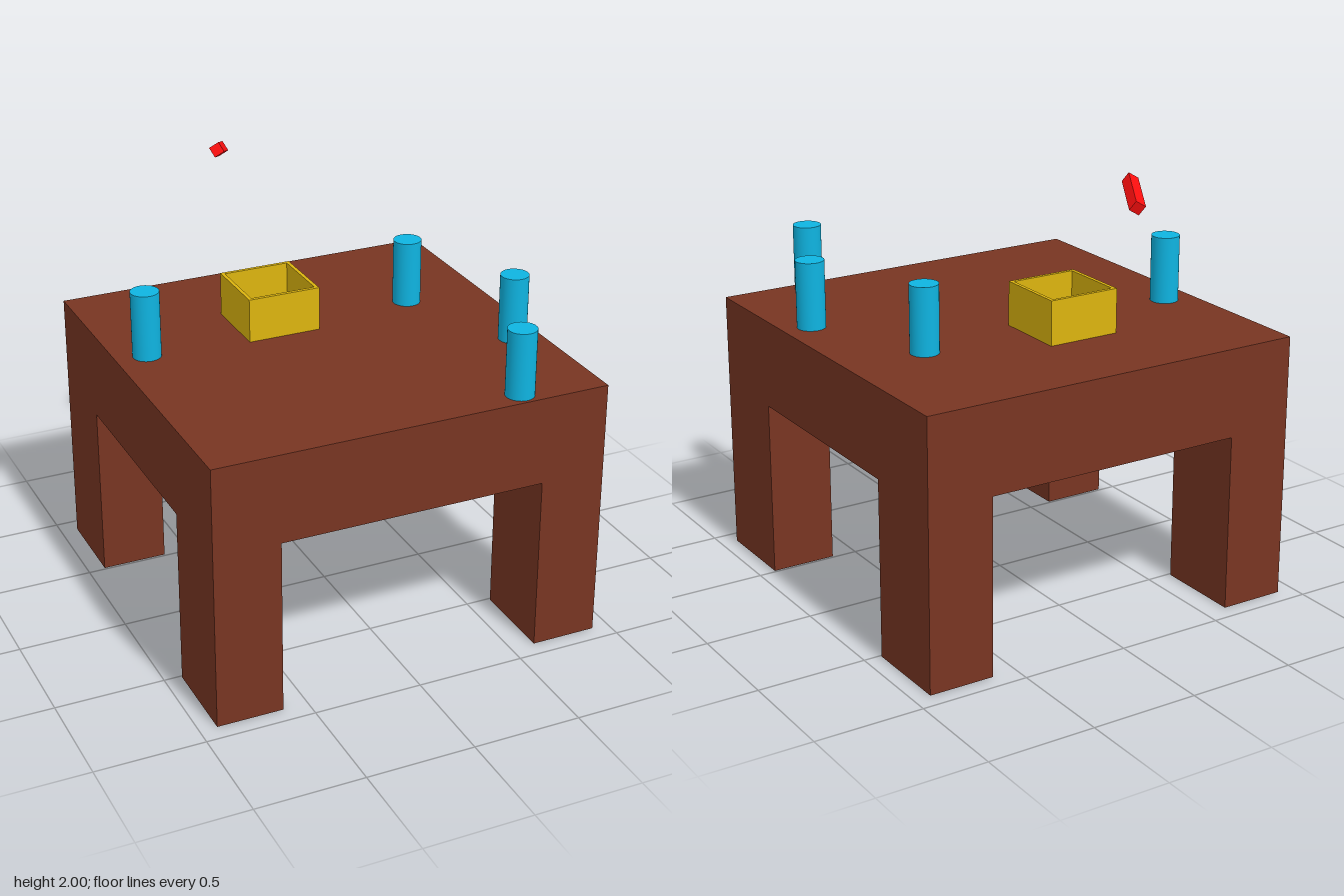
import * as THREE from 'three';

const material = (color) => new THREE.MeshStandardMaterial({ color });

function addMesh(parent, name, geometry, mat, x, y, z) {
  const mesh = new THREE.Mesh(geometry, mat);
  mesh.name = name;
  mesh.position.set(x, y, z);
  parent.add(mesh);
  return mesh;
}

export function createModel() {
  const model = new THREE.Group();
  model.name = 'tableScene';

  const brown = material(0x783522);
  const yellow = material(0xdcb40f);
  const blue = material(0x0fb4e1);
  const red = material(0xff0f0f);

  // Table: thick slab on four corner legs, flush with its sides
  const half = 0.92, top = 1.23, under = 0.82, legX = 0.305, legZ = 0.41;
  const table = new THREE.Group();
  table.name = 'table';
  model.add(table);
  addMesh(table, 'tableTop', new THREE.BoxGeometry(2 * half, top - under, 2 * half),
    brown, 0, (top + under) / 2, 0);
  const legGeometry = new THREE.BoxGeometry(legX, under, legZ);
  for (const sx of [-1, 1]) {
    for (const sz of [-1, 1]) {
      const name = (sz > 0 ? 'front' : 'back') + (sx > 0 ? 'Left' : 'Right') + 'Leg';
      addMesh(table, name, legGeometry, brown, sx * (half - legX / 2), under / 2, sz * (half - legZ / 2));
    }
  }

  // Open tray: four thin walls and a floor
  const size = 0.342, height = 0.205, wall = 0.017;
  const tray = new THREE.Group();
  tray.name = 'tray';
  tray.position.set(-0.136, top, -0.3);
  model.add(tray);
  const inner = size - 2 * wall;
  addMesh(tray, 'trayFloor', new THREE.BoxGeometry(inner, wall, inner), yellow, 0, wall / 2, 0);
  for (const s of [-1, 1]) {
    const offset = s * (size - wall) / 2;
    addMesh(tray, 'traySideWall', new THREE.BoxGeometry(wall, height, size), yellow, offset, height / 2, 0);
    addMesh(tray, 'trayEndWall', new THREE.BoxGeometry(inner, height, wall), yellow, 0, height / 2, offset);
  }

  // Four cans standing on the table
  const canHeight = 0.31;
  const canGeometry = new THREE.CylinderGeometry(0.065, 0.065, canHeight, 32);
  for (const [x, z] of [[-0.775, -0.19], [0.538, -0.25], [0.785, 0.32], [0.53, 0.84]]) {
    addMesh(model, 'can', canGeometry, blue, x, top + canHeight / 2, z);
  }

  // Square stick floating above the back, tilted and rolled
  const stick = addMesh(model, 'stick', new THREE.BoxGeometry(0.05, 0.05, 0.223), red, -0.197, 1.933, -0.73);
  const along = new THREE.Vector3(-0.43, 0.31, 0.85).normalize();
  const up = new THREE.Vector3().crossVectors(along, new THREE.Vector3(0.82, 0.51, 0.23)).normalize();
  const side = new THREE.Vector3().crossVectors(up, along);
  stick.quaternion.setFromRotationMatrix(new THREE.Matrix4().makeBasis(side, up, along));

  return model;
}
